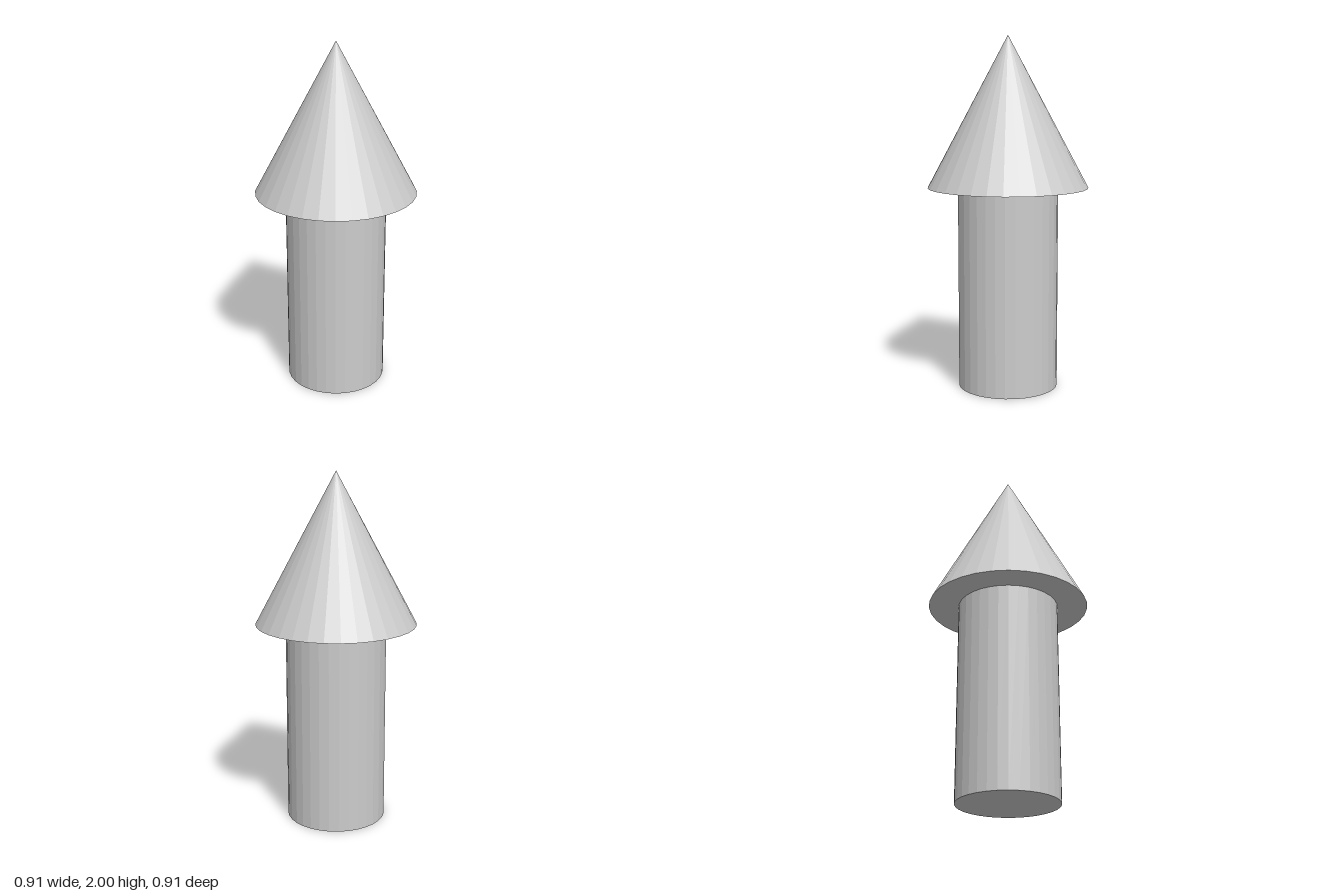
import * as THREE from 'three';

const SIDES = 32;
const SHAFT_RADIUS = 0.284;
const HEAD_RADIUS = 0.455;
const HEAD_BASE = 1.15;
const HEIGHT = 2;

export function createModel() {
  const group = new THREE.Group();
  group.name = 'upArrow';
  const material = new THREE.MeshStandardMaterial({ color: 0xcccccc, flatShading: true });

  // Straight faceted shaft standing on the ground
  const shaft = new THREE.Mesh(
    new THREE.CylinderGeometry(SHAFT_RADIUS, SHAFT_RADIUS, HEAD_BASE, SIDES), material);
  shaft.name = 'shaft';
  shaft.position.y = HEAD_BASE / 2;

  // Conical head overhanging the shaft
  const headHeight = HEIGHT - HEAD_BASE;
  const head = new THREE.Mesh(
    new THREE.ConeGeometry(HEAD_RADIUS, headHeight, SIDES), material);
  head.name = 'arrowHead';
  head.position.y = HEAD_BASE + headHeight / 2;

  group.add(shaft, head);
  return group;
}
